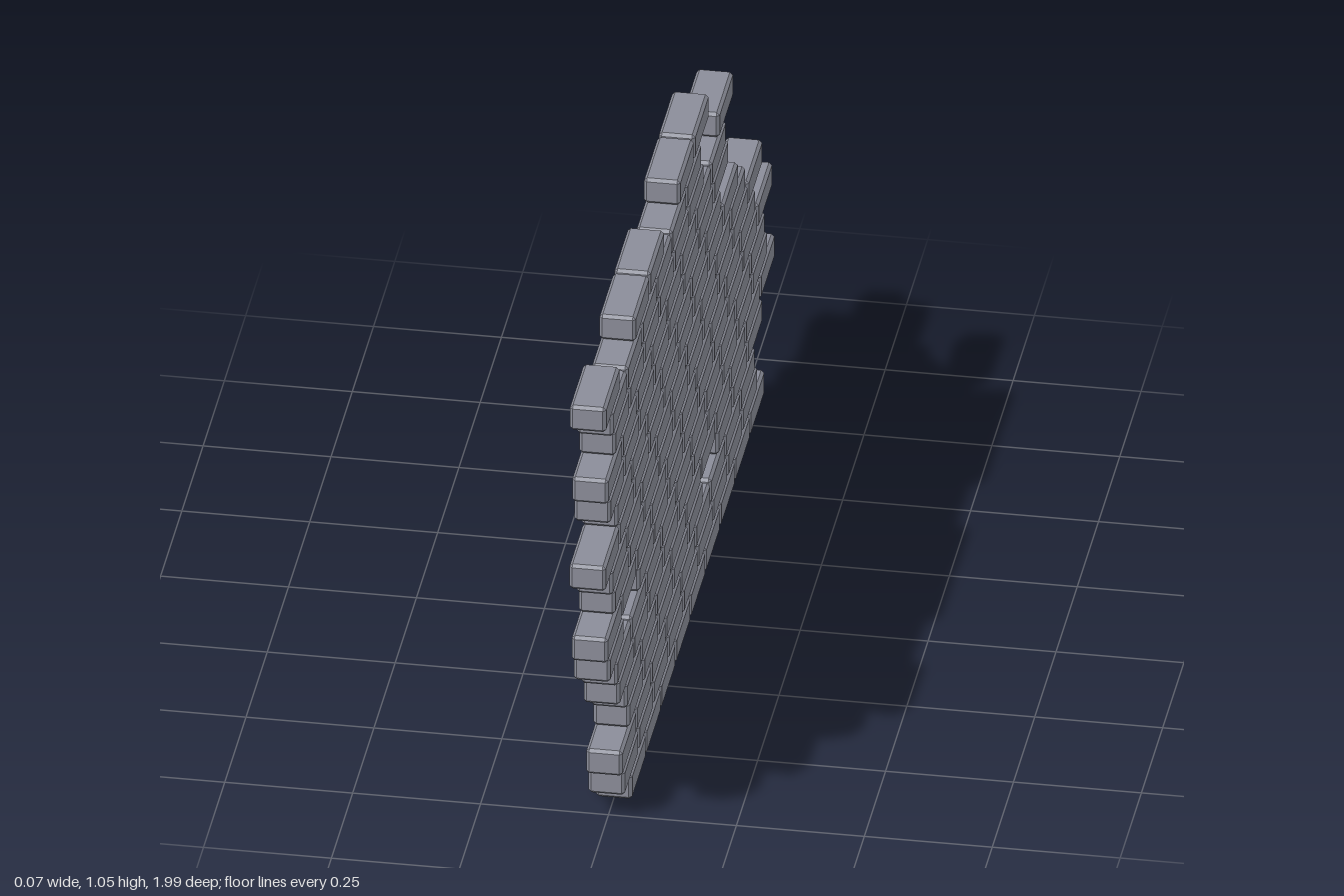
import * as THREE from 'three';
import { ConvexGeometry } from 'three/addons/geometries/ConvexGeometry.js';

const WIDTH = 0.071, HEIGHT = 0.055, LENGTH = 0.167;
const PITCH = 0.1745, ROW = 0.0588, BEVEL = 0.006;

// Box with all edges chamfered
function chamferedBox(w, h, l, b) {
  const points = [];
  for (const sx of [-1, 1]) for (const sy of [-1, 1]) for (const sz of [-1, 1]) {
    const x = w / 2, y = h / 2, z = l / 2;
    points.push(
      new THREE.Vector3(sx * x, sy * (y - b), sz * (z - b)),
      new THREE.Vector3(sx * (x - b), sy * y, sz * (z - b)),
      new THREE.Vector3(sx * (x - b), sy * (y - b), sz * z)
    );
  }
  return new ConvexGeometry(points);
}

// Courses from the ground up: [front end z, number of brick slots, empty slots]
const COURSES = [
  [0.689, 9], [0.775, 9], [0.802, 9], [0.716, 9, [5]], [0.743, 10], [0.832, 10],
  [0.859, 10], [0.946, 11, [1]], [0.973, 10], [0.887, 10], [0.914, 9], [1.0, 9],
  [0.855, 7], [0.941, 8], [0.968, 8], [0.882, 8, [6]], [0.909, 6], [0.995, 7, [1, 4]],
];

export function createModel() {
  const wall = new THREE.Group();
  wall.name = 'brokenBrickWall';
  const stone = new THREE.MeshStandardMaterial({ color: 0x8b8d99 });
  stone.name = 'greyStone';
  const brickGeometry = chamferedBox(WIDTH, HEIGHT, LENGTH, BEVEL);

  COURSES.forEach(([start, count, empty = []], row) => {
    const course = new THREE.Group();
    course.name = `course${row + 1}`;
    course.position.y = HEIGHT / 2 + row * ROW;
    for (let i = 0; i < count; i++) {
      if (empty.includes(i)) continue;
      const brick = new THREE.Mesh(brickGeometry, stone);
      brick.name = 'brick';
      brick.position.z = start - LENGTH / 2 - i * PITCH;
      course.add(brick);
    }
    wall.add(course);
  });
  return wall;
}
